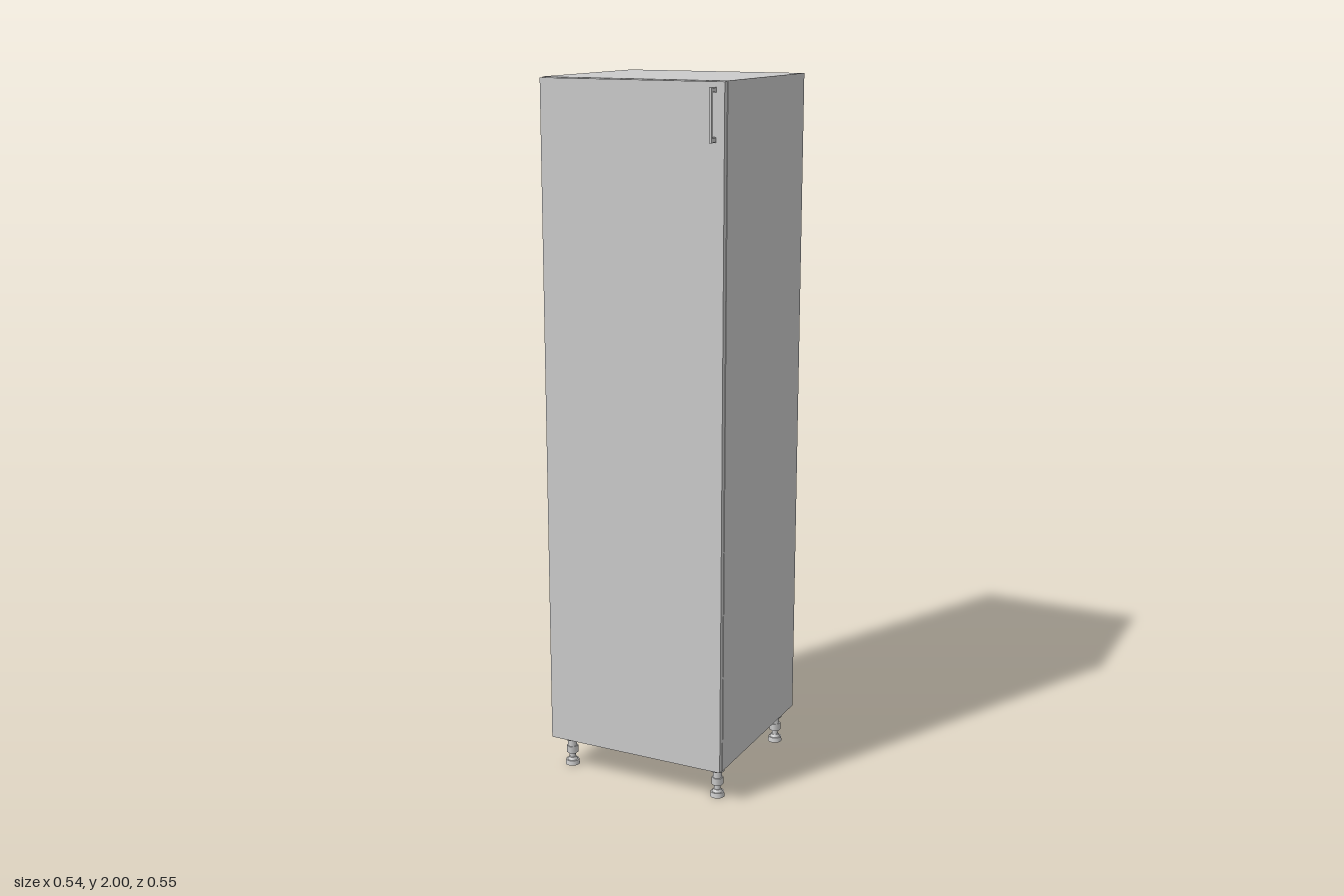
import * as THREE from 'three';

const grey = new THREE.MeshStandardMaterial({ color: 0xcccccc });

function add(parent, name, geometry, x = 0, y = 0, z = 0) {
  const mesh = new THREE.Mesh(geometry, grey);
  mesh.name = name;
  mesh.position.set(x, y, z);
  parent.add(mesh);
  return mesh;
}

// Box given by its limits on each axis
function panel(parent, name, [x0, x1], [y0, y1], [z0, z1]) {
  return add(parent, name, new THREE.BoxGeometry(x1 - x0, y1 - y0, z1 - z0),
    (x0 + x1) / 2, (y0 + y1) / 2, (z0 + z1) / 2);
}

const W = 0.272, BOTTOM = 0.1, TOP = 2, BACK = -0.277, DOOR = 0.233, FRONT = 0.249;
const T = 0.015;

// Levelling foot: mounting flange, socket, threaded stem, nut and pad
function createLeg() {
  const leg = new THREE.Group();
  leg.name = 'leg';
  const discs = [
    ['footPad', 0.019, 0.021, 0, 0.014, 24],
    ['footCollar', 0.011, 0.015, 0.014, 0.022, 24],
    ['stem', 0.009, 0.009, 0.022, 0.036, 20],
    ['nut', 0.017, 0.017, 0.036, 0.058, 6],
    ['socket', 0.013, 0.013, 0.058, 0.078, 24],
    ['mountingFlange', 0.02, 0.02, 0.078, 0.1, 24],
  ];
  for (const [name, rTop, rBottom, y0, y1, sides] of discs) {
    add(leg, name, new THREE.CylinderGeometry(rTop, rBottom, y1 - y0, sides), 0, (y0 + y1) / 2, 0);
  }
  return leg;
}

// Bow handle: slim upright grip on two short posts
function createHandle() {
  const handle = new THREE.Group();
  handle.name = 'handle';
  const y0 = 1.845, y1 = 1.985, end = 0.277, w = 0.007;
  panel(handle, 'grip', [-w / 2, w / 2], [y0, y1], [end - 0.006, end]);
  for (const y of [y0, y1 - 0.014]) {
    panel(handle, 'post', [-w / 2, w / 2], [y + 0.002, y + 0.012], [FRONT, end - 0.006]);
    panel(handle, 'postBase', [-w / 2, w / 2], [y, y + 0.014], [FRONT, FRONT + 0.004]);
  }
  handle.position.x = 0.244;
  return handle;
}

export function createModel() {
  const model = new THREE.Group();
  model.name = 'tallCabinet';

  // Carcass
  const inner = W - T, depth = [BACK, DOOR - 0.001];
  panel(model, 'leftSide', [inner, W], [BOTTOM, TOP], depth);
  panel(model, 'rightSide', [-W, -inner], [BOTTOM, TOP], depth);
  const inset = [BACK + 0.005, DOOR - 0.001];
  panel(model, 'topPanel', [-inner, inner], [TOP - T, TOP], inset);
  panel(model, 'bottomPanel', [-inner, inner], [BOTTOM, BOTTOM + T], inset);
  panel(model, 'backPanel', [-inner, inner], [BOTTOM, TOP - 0.001], [BACK + 0.001, BACK + 0.005]);

  // Door with a narrow reveal around it
  panel(model, 'door', [-W + 0.001, W - 0.001], [BOTTOM + 0.001, TOP - 0.002], [DOOR, FRONT]);
  model.add(createHandle());

  // Four legs
  for (const x of [-0.237, 0.237]) {
    for (const z of [0.19, -0.225]) {
      const leg = createLeg();
      leg.position.set(x, 0, z);
      model.add(leg);
    }
  }
  return model;
}
